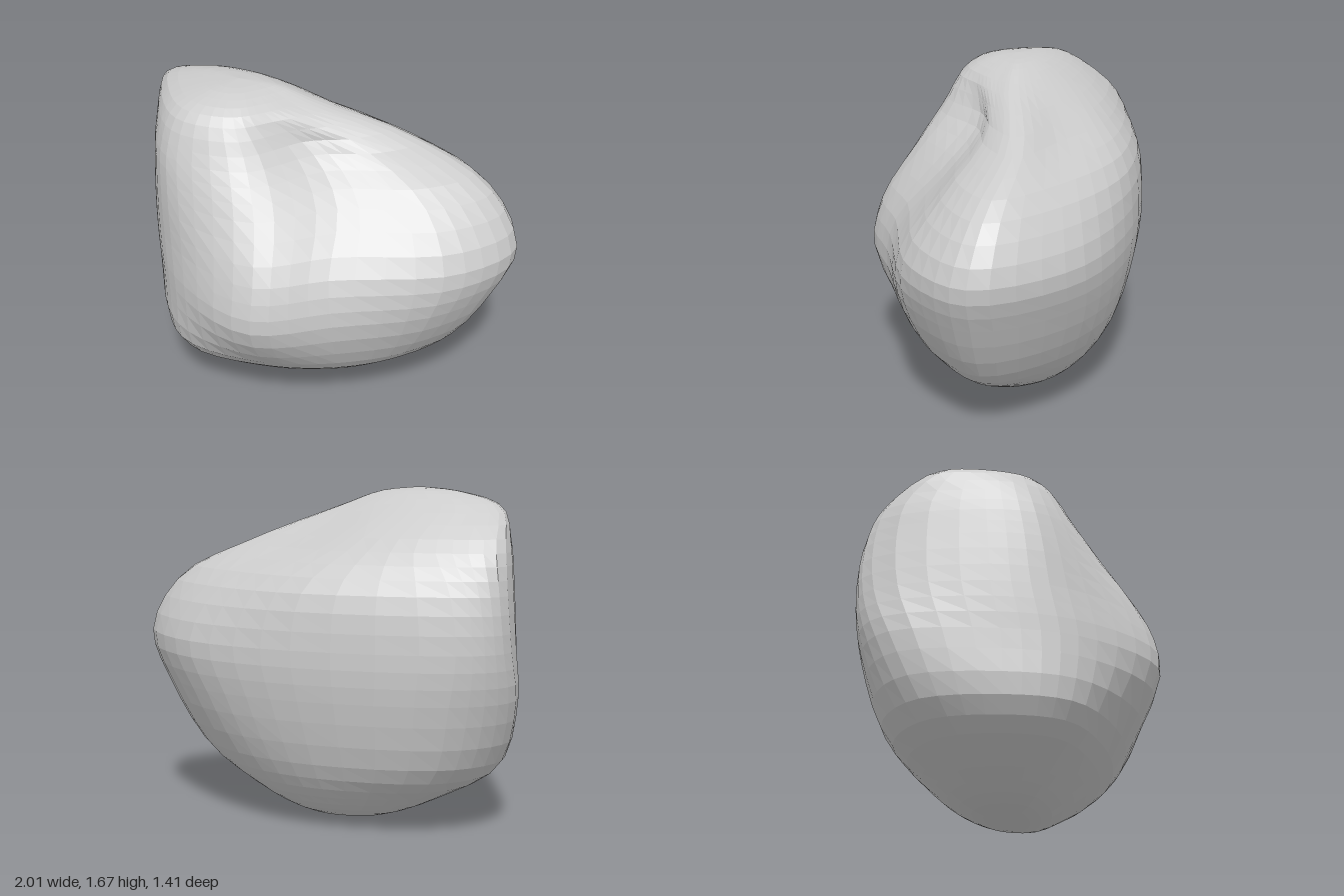
import * as THREE from 'three';

// Cross-sections of the boulder, bottom to top. Each ring lists (x, z) pairs in the same order:
// right tip, front right, front hollow, nose, front-left corner, left face, left edge, back left, back, back right
const RINGS = [
  { y: 0.14, p: [0.4, -0.12, 0.29, 0.05, 0.12, 0.17, -0.11, 0.25, -0.4, 0.25, -0.55, 0.11, -0.6, -0.11, -0.47, -0.33, -0.1, -0.45, 0.23, -0.36] },
  { y: 0.32, p: [0.69, -0.14, 0.54, 0.12, 0.25, 0.34, -0.11, 0.47, -0.55, 0.46, -0.77, 0.21, -0.88, -0.17, -0.69, -0.46, -0.08, -0.585, 0.38, -0.46] },
  { y: 0.66, p: [0.91, -0.16, 0.73, 0.2, 0.28, 0.49, -0.1, 0.7, -0.55, 0.52, -0.81, 0.21, -1.0, -0.3, -0.79, -0.55, -0.03, -0.685, 0.53, -0.56] },
  { y: 0.92, p: [1.0, -0.17, 0.8, 0.18, 0.25, 0.45, -0.1, 0.655, -0.58, 0.48, -0.84, 0.17, -1.0, -0.4, -0.83, -0.57, 0, -0.71, 0.63, -0.57] },
  { y: 1.2, p: [0.83, -0.2, 0.63, 0.05, 0.2, 0.21, -0.16, 0.49, -0.61, 0.43, -0.84, 0.15, -0.98, -0.42, -0.79, -0.55, -0.05, -0.66, 0.47, -0.5] },
  { y: 1.4, p: [0.41, -0.22, 0.25, -0.04, 0, 0.08, -0.25, 0.36, -0.63, 0.37, -0.83, 0.13, -0.95, -0.36, -0.68, -0.46, -0.24, -0.47, 0.08, -0.35] },
  { y: 1.58, p: [-0.04, -0.08, -0.1, 0.03, -0.2, 0.15, -0.34, 0.27, -0.6, 0.28, -0.78, 0.1, -0.87, -0.14, -0.7, -0.24, -0.4, -0.25, -0.17, -0.18] },
];
const BOTTOM = new THREE.Vector3(-0.08, 0, -0.12);
const TOP = new THREE.Vector3(-0.42, 1.67, 0);
const AROUND = 44;
const UP = 32;

// Smooth closed loop through one ring
function ringPoints({ y, p }) {
  const pts = [];
  for (let i = 0; i < p.length; i += 2) pts.push(new THREE.Vector3(p[i], y, p[i + 1]));
  const curve = new THREE.CatmullRomCurve3(pts, true);
  return Array.from({ length: AROUND }, (_, j) => curve.getPoint(j / AROUND));
}

// Extra point that rounds the surface off towards a pole
function roundOff(pole, q) {
  const m = pole.clone().lerp(q, 0.5);
  m.y = pole.y + (q.y - pole.y) * 0.23;
  return m;
}

function boulderGeometry() {
  const rings = RINGS.map(ringPoints);
  const last = rings.length - 1;
  const pos = [];
  const index = [];

  // One smooth meridian per column, from pole to pole
  for (let j = 0; j < AROUND; j++) {
    const column = rings.map((r) => r[j]);
    const meridian = new THREE.CatmullRomCurve3([
      BOTTOM, roundOff(BOTTOM, column[0]), ...column, roundOff(TOP, column[last]), TOP,
    ]);
    for (let i = 0; i <= UP; i++) pos.push(...meridian.getPoint(i / UP).toArray());
  }

  const at = (i, j) => (j % AROUND) * (UP + 1) + i;
  for (let j = 0; j < AROUND; j++) {
    for (let i = 0; i < UP; i++) {
      const a = at(i, j), b = at(i + 1, j), c = at(i + 1, j + 1), d = at(i, j + 1);
      if (i < UP - 1) index.push(a, b, c);
      else index.push(a, b, d);
      if (i > 0 && i < UP - 1) index.push(a, c, d);
    }
  }

  const geo = new THREE.BufferGeometry();
  geo.setAttribute('position', new THREE.Float32BufferAttribute(pos, 3));
  geo.setIndex(index);
  geo.computeVertexNormals();

  // Stand on the ground, centred
  geo.computeBoundingBox();
  const { min, max } = geo.boundingBox;
  geo.translate(-(min.x + max.x) / 2, -min.y, -(min.z + max.z) / 2);
  return geo;
}

export function createModel() {
  const group = new THREE.Group();
  group.name = 'rock';
  const boulder = new THREE.Mesh(
    boulderGeometry(),
    new THREE.MeshStandardMaterial({ color: 0xcccccc, flatShading: true }),
  );
  boulder.name = 'boulder';
  group.add(boulder);
  return group;
}
